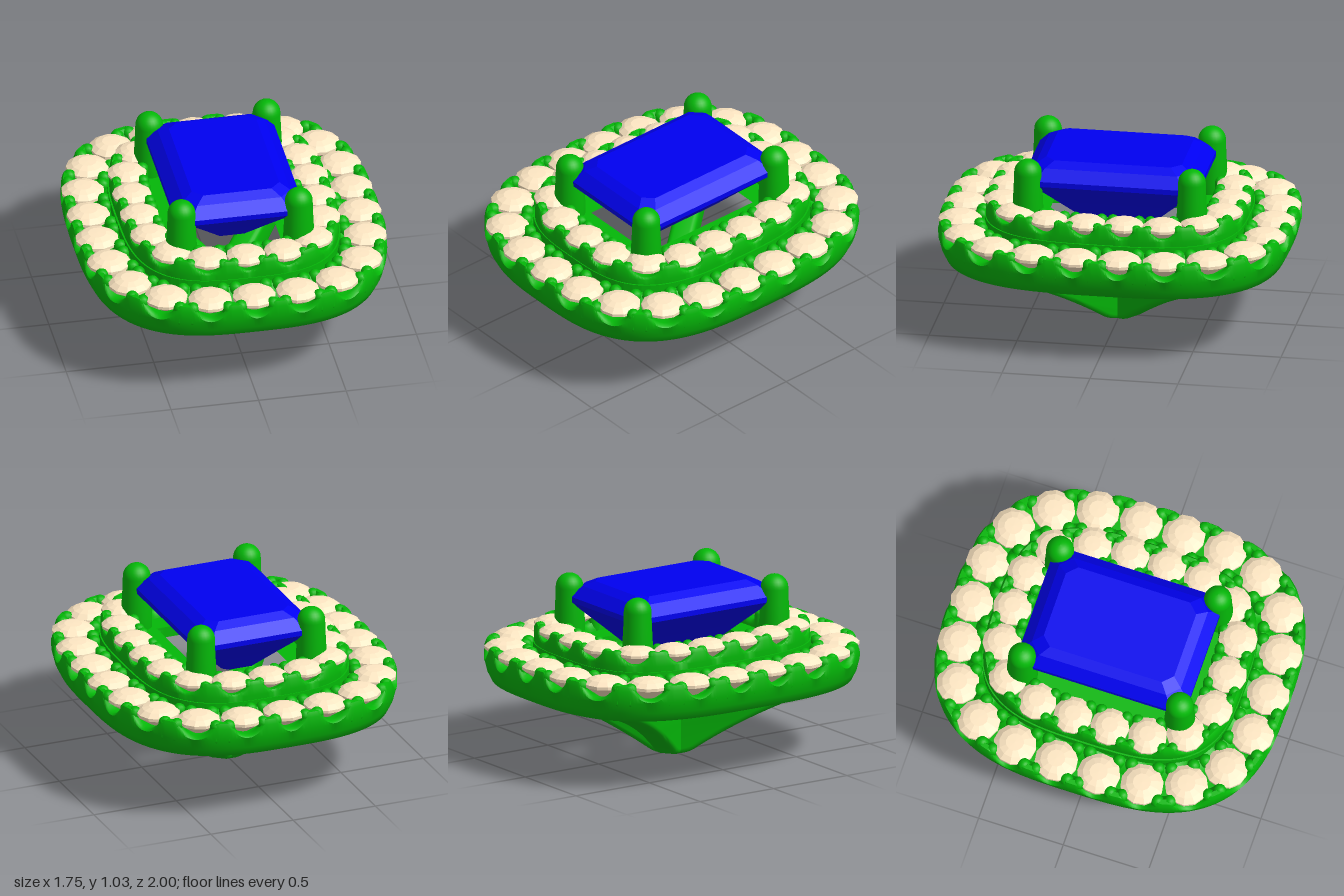
import * as THREE from 'three';
import { toCreasedNormals } from 'three/addons/utils/BufferGeometryUtils.js';

const metal = new THREE.MeshStandardMaterial({ color: 0x04b808 });
const paleStone = new THREE.MeshStandardMaterial({ color: 0xffe8c4, flatShading: true });
const blueStone = new THREE.MeshStandardMaterial({ color: 0x0000f0, flatShading: true });

// Closed superellipse outline in the xz plane, starting at +z and heading to +x
class Outline extends THREE.Curve {
  constructor(a, b, n) {
    super();
    Object.assign(this, { a, b, n, arcLengthDivisions: 1200 });
  }
  getPoint(t, target = new THREE.Vector3()) {
    const s = Math.sin(t * Math.PI * 2), c = Math.cos(t * Math.PI * 2);
    const r = (Math.abs(s / this.a) ** this.n + Math.abs(c / this.b) ** this.n) ** (-1 / this.n);
    return target.set(s * r, 0, c * r);
  }
  // Point at arc fraction u, shifted outward and along the outline
  place(u, out, along, y) {
    const p = this.getPointAt(u);
    const d = this.getPointAt((u + 0.002) % 1).sub(this.getPointAt((u + 0.998) % 1)).normalize();
    return new THREE.Vector3(p.x - d.z * out + d.x * along, y, p.z + d.x * out + d.z * along);
  }
}

function add(parent, name, geometry, material) {
  const mesh = new THREE.Mesh(geometry, material);
  mesh.name = name;
  parent.add(mesh);
  return mesh;
}

// Quads between closed cross-sections; rows run along the outline
function stitch(positions, rows, cols) {
  const index = [];
  for (let i = 0; i < rows; i++) {
    for (let j = 0; j < cols; j++) {
      const a = i * cols + j, c = i * cols + (j + 1) % cols;
      const b = ((i + 1) % rows) * cols + j, d = ((i + 1) % rows) * cols + (j + 1) % cols;
      index.push(a, b, c, b, d, c);
    }
  }
  const g = new THREE.BufferGeometry();
  g.setAttribute('position', new THREE.Float32BufferAttribute(positions, 3));
  g.setIndex(index);
  return toCreasedNormals(g, 0.9);
}

// Scalloped band: section points are [outward, y, scallop depth]
function bandGeometry(outline, section, count) {
  const steps = 16, rows = count * steps, positions = [];
  for (let i = 0; i < rows; i++) {
    const phase = ((i / steps + 0.5) % 1) - 0.5;
    const cut = Math.max(0, 1 - (phase / 0.36) ** 2);
    for (const [out, y, depth] of section) {
      positions.push(...outline.place(i / rows, out, 0, y - depth * cut).toArray());
    }
  }
  return stitch(positions, rows, section.length);
}

// Small round stone, girdle at y = 0
function roundStone(r) {
  const profile = [[0, -0.8], [1, -0.1], [1, 0.04], [0.74, 0.22], [0.42, 0.32], [0, 0.33]];
  return new THREE.LatheGeometry(profile.map(([x, y]) => new THREE.Vector2(x * r, y * r)), 12);
}

// Band with its row of stones and the beads holding them
function halo(name, { outline, section, count, radius, girdle, bead, beadOut, beadIn }) {
  const group = new THREE.Group();
  group.name = name;
  add(group, 'scallopedBand', bandGeometry(outline, section, count), metal);
  const stoneGeo = roundStone(radius);
  const beadGeo = new THREE.CapsuleGeometry(bead, 0.07, 4, 10);
  for (let i = 0; i < count; i++) {
    const stone = add(group, 'smallStone', stoneGeo, paleStone);
    stone.position.copy(outline.place(i / count, 0, 0, girdle));
    stone.rotation.y = (i / count) * Math.PI * 2;
    for (const out of [beadOut, beadIn]) {
      for (const side of [-1, 1]) {
        add(group, 'bead', beadGeo, metal).position
          .copy(outline.place((i + 0.5) / count, out, side * bead * 0.95, girdle - 0.045));
      }
    }
  }
  return group;
}

// Floor plate between the halos, with a rectangular opening under the centre stone
function plateGeometry(bottom, top) {
  const points = new Outline(0.615, 0.74, 3.1).getPoints(96).slice(0, -1);
  const shape = new THREE.Shape(points.map((p) => new THREE.Vector2(p.x, p.z)));
  const [w, d] = [0.25, 0.38];
  shape.holes.push(new THREE.Path([[-w, -d], [-w, d], [w, d], [w, -d]].map(([x, z]) => new THREE.Vector2(x, z))));
  const g = new THREE.ExtrudeGeometry(shape, { depth: top - bottom, bevelEnabled: false });
  g.rotateX(-Math.PI / 2);
  g.translate(0, bottom, 0);
  return g;
}

// Step-cut rectangular stone: rows of [y, half width, half depth, corner cut]
function stepCutGeometry() {
  const rows = [
    [0.62, 0, 0, 0], [0.62, 0.1, 0.235, 0.03], [0.74, 0.22, 0.355, 0.05], [0.88, 0.365, 0.5, 0.08],
    [0.91, 0.365, 0.5, 0.08], [0.97, 0.305, 0.44, 0.065], [1.0, 0.25, 0.385, 0.055], [1.0, 0, 0, 0],
  ];
  const rings = rows.map(([y, w, d, c]) => [
    [w - c, d], [w, d - c], [w, c - d], [w - c, -d], [c - w, -d], [-w, c - d], [-w, d - c], [c - w, d],
  ].map(([x, z]) => [x, y, z]));
  const positions = [];
  for (let i = 0; i < rings.length - 1; i++) {
    for (let j = 0; j < 8; j++) {
      const k = (j + 1) % 8, [lo, hi] = [rings[i], rings[i + 1]];
      positions.push(...lo[j], ...lo[k], ...hi[j], ...lo[k], ...hi[k], ...hi[j]);
    }
  }
  const g = new THREE.BufferGeometry();
  g.setAttribute('position', new THREE.Float32BufferAttribute(positions, 3));
  g.computeVertexNormals();
  return g;
}

// Round-topped prong, a little thicker towards its foot
function prongGeometry() {
  const profile = [[0, 0.55], [0.07, 0.55], [0.088, 0.57], [0.088, 0.72], [0.08, 0.88]];
  for (let i = 0; i <= 8; i++) {
    const a = (i / 8) * Math.PI / 2;
    profile.push([0.078 * Math.cos(a), 0.952 + 0.078 * Math.sin(a)]);
  }
  return new THREE.LatheGeometry(profile.map(([x, y]) => new THREE.Vector2(x, y)), 24);
}

// V-shaped strut spanning one diagonal under the setting
function strutGeometry() {
  const s = new THREE.Shape();
  s.moveTo(-0.05, 0);
  s.lineTo(0.05, 0);
  s.quadraticCurveTo(0.1, 0.005, 0.14, 0.035);
  s.quadraticCurveTo(0.54, 0.3, 1.0, 0.43);
  s.lineTo(0.92, 0.52);
  s.quadraticCurveTo(0.5, 0.43, 0.07, 0.25);
  s.lineTo(-0.07, 0.25);
  s.quadraticCurveTo(-0.5, 0.43, -0.92, 0.52);
  s.lineTo(-1.0, 0.43);
  s.quadraticCurveTo(-0.54, 0.3, -0.14, 0.035);
  s.quadraticCurveTo(-0.1, 0.005, -0.05, 0);
  const g = new THREE.ExtrudeGeometry(s, {
    depth: 0.08, bevelEnabled: true, bevelSize: 0.03, bevelThickness: 0.03,
    bevelOffset: -0.03, bevelSegments: 4, curveSegments: 14,
  });
  g.translate(0, 0, -0.04);
  return toCreasedNormals(g, 0.7);
}

export function createModel() {
  const model = new THREE.Group();
  model.name = 'gemSetting';

  // Wide lower halo
  model.add(halo('outerHalo', {
    outline: new Outline(0.75, 0.875, 3.1), count: 22, radius: 0.122, girdle: 0.62,
    bead: 0.038, beadOut: 0.082, beadIn: -0.112,
    section: [
      [0.05, 0.42, 0], [0.08, 0.43, 0], [0.105, 0.48, 0], [0.12, 0.54, 0], [0.123, 0.61, 0.065],
      [0.112, 0.638, 0.085], [0.085, 0.64, 0.085], [0.03, 0.55, 0], [-0.06, 0.55, 0],
      [-0.1, 0.62, 0.05], [-0.125, 0.625, 0.04], [-0.15, 0.6, 0], [-0.15, 0.42, 0],
    ],
  }));

  // Narrow raised halo
  model.add(halo('innerHalo', {
    outline: new Outline(0.505, 0.635, 3.4), count: 18, radius: 0.11, girdle: 0.74,
    bead: 0.034, beadOut: 0.064, beadIn: -0.085,
    section: [
      [0.09, 0.57, 0], [0.1, 0.6, 0], [0.1, 0.68, 0], [0.1, 0.74, 0.06], [0.088, 0.76, 0.07],
      [0.065, 0.755, 0.07], [0.03, 0.68, 0], [-0.05, 0.68, 0], [-0.075, 0.74, 0.05],
      [-0.1, 0.73, 0.05], [-0.115, 0.66, 0], [-0.115, 0.57, 0],
    ],
  }));

  add(model, 'floorPlate', plateGeometry(0.57, 0.65), metal);
  add(model, 'centreStone', stepCutGeometry(), blueStone);

  // Corner prongs and diagonal struts
  const prongGeo = prongGeometry();
  const strutGeo = strutGeometry();
  for (const sx of [-1, 1]) {
    for (const sz of [-1, 1]) {
      add(model, 'prong', prongGeo, metal).position.set(sx * 0.335, 0, sz * 0.466);
    }
    add(model, 'strut', strutGeo, metal).rotation.y = sx * Math.atan2(0.79, 0.61);
  }
  return model;
}
